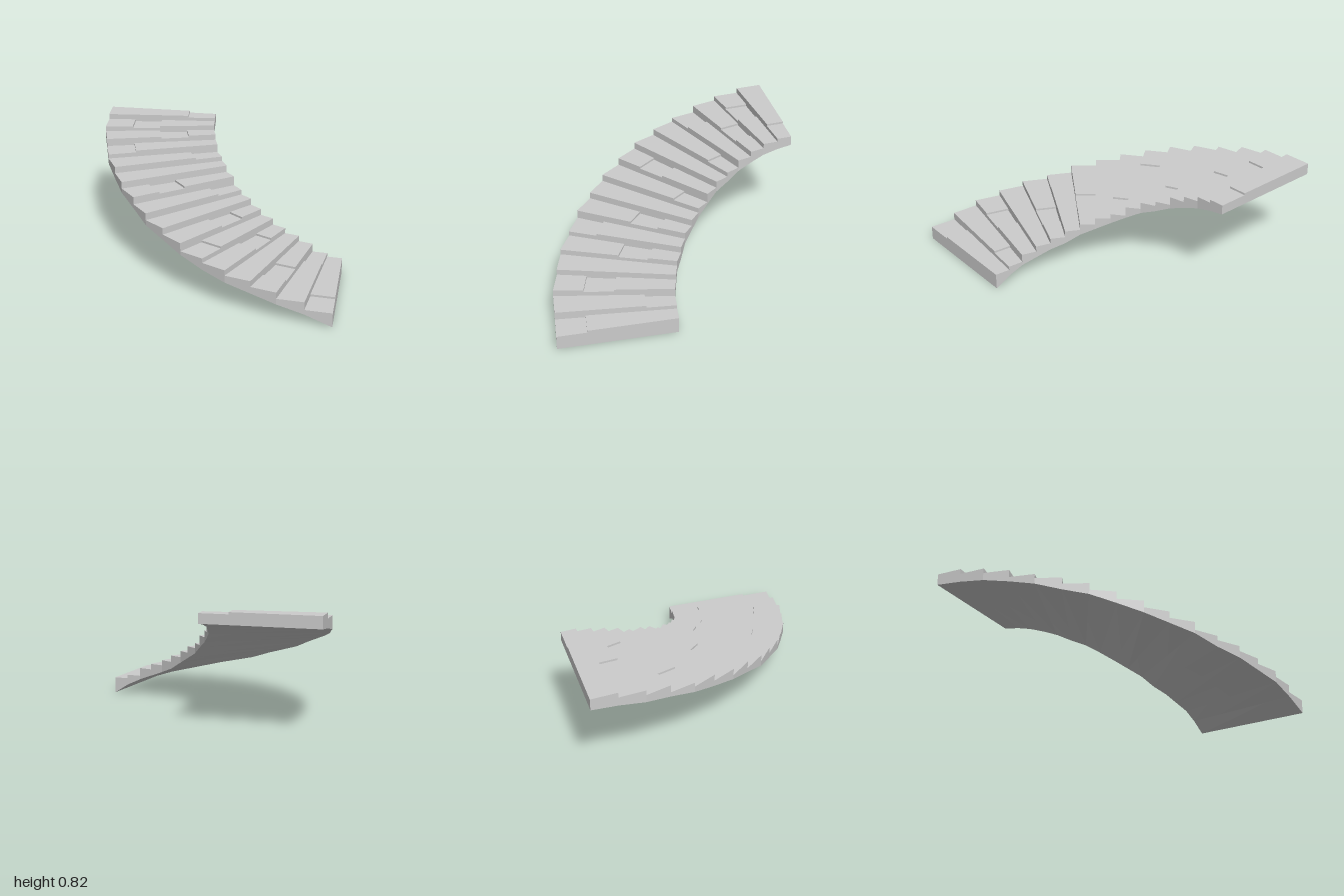
import * as THREE from 'three';

const INNER = 1.138, OUTER = 2;      // radii about the turning centre (1, -1)
const SEGMENTS = 8;                  // straight chords, two steps on each
const DROP = 0.015;                  // how far a sunken block sits below its step

// height of each step, and of the sloping underside at each step line
const tops = [0.12, 0.163, 0.21, 0.253, 0.293, 0.342, 0.39, 0.44, 0.493, 0.55, 0.602, 0.652, 0.70, 0.743, 0.78, 0.82];
const soffit = [0, 0.07, 0.12, 0.16, 0.20, 0.24, 0.30, 0.35, 0.40, 0.46, 0.515, 0.557, 0.607, 0.65, 0.685, 0.715, 0.733];

// which quarter of each step is sunken, counted from the outer end (-1: none)
const sunken = [0, 3, 1, -1, 2, 0, 2, -1, 3, 1, -1, 3, 0, 2, 1, 3];

// point on a step line; t runs from the outer end (0) to the inner end (1)
function linePoint(line, t) {
  const r = OUTER + (INNER - OUTER) * t;
  const corner = (k) => {
    const a = (k / SEGMENTS) * Math.PI / 2;
    return new THREE.Vector2(1 - r * Math.sin(a), -1 + r * Math.cos(a));
  };
  return corner(Math.floor(line / 2)).lerp(corner(Math.ceil(line / 2)), 0.5);
}

// wedge-shaped block: a box whose corners are moved onto the step lines
function blockGeometry(step, t0, t1, top) {
  const geo = new THREE.BoxGeometry(1, 1, 1);
  const pos = geo.attributes.position;
  for (let i = 0; i < pos.count; i++) {
    const line = pos.getZ(i) > 0 ? step + 1 : step;
    const p = linePoint(line, pos.getX(i) > 0 ? t0 : t1);
    pos.setXYZ(i, p.x, pos.getY(i) > 0 ? top : soffit[line], p.y);
  }
  geo.computeVertexNormals();
  return geo;
}

export function createModel() {
  const model = new THREE.Group();
  model.name = 'curvedStaircase';
  const stone = new THREE.MeshStandardMaterial({ color: 0xcccccc, flatShading: true });

  tops.forEach((top, step) => {
    const group = new THREE.Group();
    group.name = `step${step + 1}`;
    const addBlock = (name, t0, t1, y) => {
      if (t1 <= t0) return;
      const mesh = new THREE.Mesh(blockGeometry(step, t0, t1, y), stone);
      mesh.name = name;
      group.add(mesh);
    };

    // full-height blocks on either side of the sunken one
    const q = sunken[step];
    if (q < 0) {
      addBlock('wholeStepBlock', 0, 1, top);
    } else {
      addBlock('outerBlock', 0, q / 4, top);
      addBlock('sunkenBlock', q / 4, (q + 1) / 4, top - DROP);
      addBlock('innerBlock', (q + 1) / 4, 1, top);
    }
    model.add(group);
  });

  return model;
}
